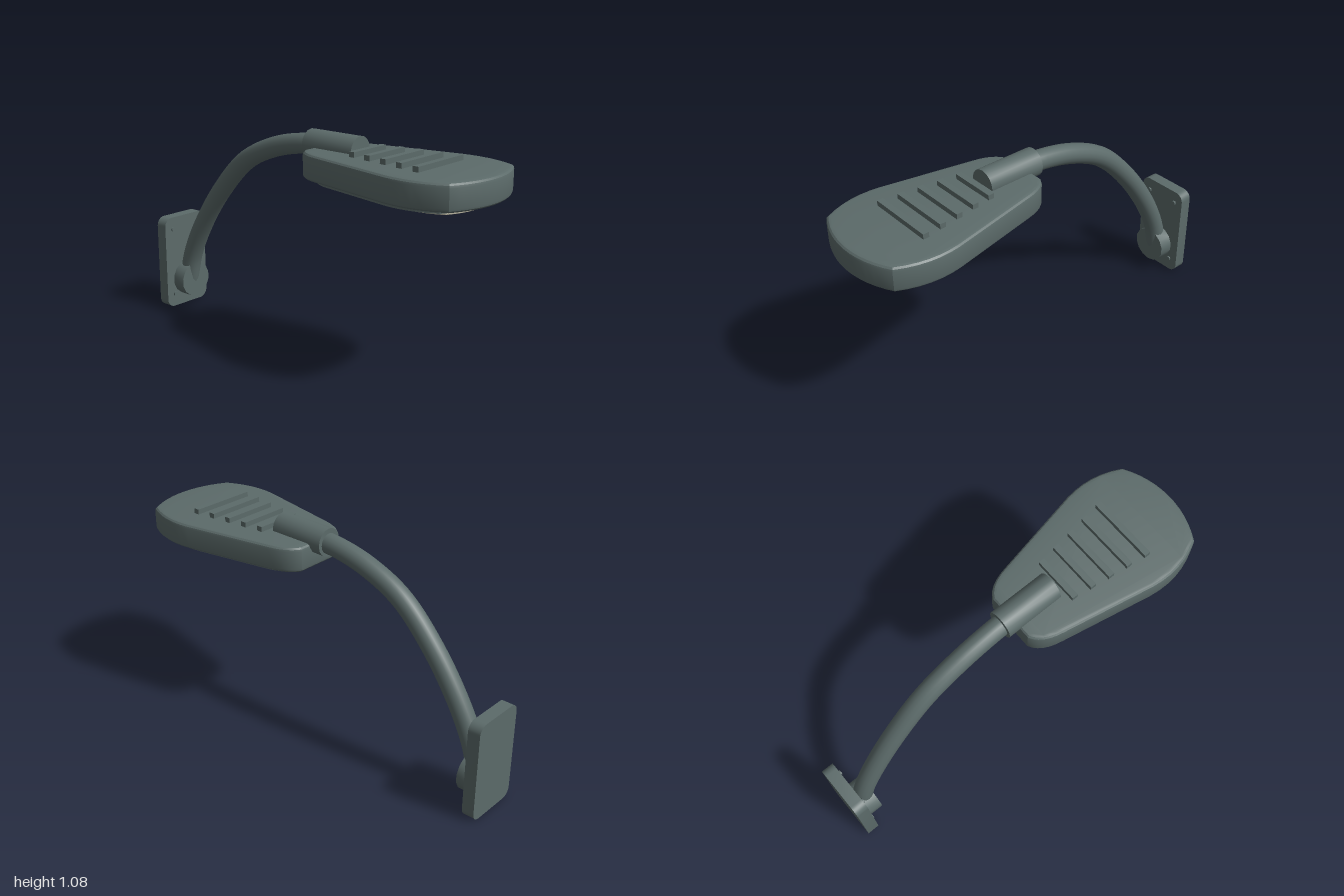
import * as THREE from 'three';
import { toCreasedNormals } from 'three/addons/utils/BufferGeometryUtils.js';

const metal = new THREE.MeshStandardMaterial({ color: 0x5c6b6a });
metal.name = 'slate grey metal';
const glass = new THREE.MeshStandardMaterial({ color: 0xcbc6b0 });
glass.name = 'warm cream lens';

export function createModel() {
  const root = new THREE.Group();
  root.name = 'wallLamp';

  const add = (name, geometry, material, x = 0, y = 0, z = 0) => {
    const mesh = new THREE.Mesh(geometry, material);
    mesh.name = name;
    mesh.position.set(x, y, z);
    root.add(mesh);
    return mesh;
  };

  // Cylinder lying along z
  const rod = (radius, length, sides) =>
    toCreasedNormals(new THREE.CylinderGeometry(radius, radius, length, sides).rotateX(Math.PI / 2), 0.7);

  // Paddle outline of the lamp head, scaled about its middle; shape y becomes z
  const HEAD_Z = 0.52;
  const paddle = (s) => {
    const p = (x, z) => [x * s, (z - HEAD_Z) * s];
    const shape = new THREE.Shape();
    shape.moveTo(...p(-0.12, 0.04));
    shape.lineTo(...p(0.12, 0.04));
    shape.quadraticCurveTo(...p(0.185, 0.07), ...p(0.205, 0.18));
    shape.lineTo(...p(0.295, 0.63));
    shape.bezierCurveTo(...p(0.312, 0.73), ...p(0.30, 0.83), ...p(0.245, 0.93));
    shape.quadraticCurveTo(...p(0.13, 1.0), ...p(0, 1.0));
    shape.quadraticCurveTo(...p(-0.13, 1.0), ...p(-0.245, 0.93));
    shape.bezierCurveTo(...p(-0.30, 0.83), ...p(-0.312, 0.73), ...p(-0.295, 0.63));
    shape.lineTo(...p(-0.205, 0.18));
    shape.quadraticCurveTo(...p(-0.185, 0.07), ...p(-0.12, 0.04));
    return shape;
  };

  // Slab with its top at y = 0, going down by height
  const slab = (scale, height, bevel) =>
    toCreasedNormals(new THREE.ExtrudeGeometry(paddle(scale), {
      depth: height - 2 * bevel, curveSegments: 6,
      bevelEnabled: bevel > 0, bevelThickness: bevel, bevelSize: bevel,
      bevelOffset: -bevel, bevelSegments: 3,
    }).translate(0, 0, bevel).rotateX(Math.PI / 2), 0.35);

  // Lamp head, underside frame and lens
  add('headShell', slab(1, 0.126, 0.02), metal, 0, 1.011, HEAD_Z);
  add('lensFrame', slab(0.84, 0.022, 0), metal, 0, 0.889, 0.515);
  add('lens', slab(0.67, 0.018, 0.003), glass, 0, 0.871, 0.585);

  // Light emitters under the lens
  for (let row = 0; row < 5; row++) {
    for (const x of [-0.06, 0, 0.06]) {
      add('emitter', new THREE.CylinderGeometry(0.014, 0.012, 0.01, 10), glass, x, 0.852, 0.43 + row * 0.066);
    }
  }

  // Cooling fins, wider toward the front
  for (let i = 0; i < 5; i++) {
    add('coolingFin', new THREE.BoxGeometry(0.23 + i * 0.026, 0.035, 0.03), metal, 0, 1.0185, 0.32 + i * 0.0965);
  }

  // Collar joining head and arm
  add('collar', rod(0.069, 0.295, 16), metal, 0, 1.016, 0.1295);

  // Curved arm
  const path = new THREE.CatmullRomCurve3([
    [0.05, 1.012], [-0.06, 1.008], [-0.25, 0.967], [-0.45, 0.873], [-0.64, 0.685],
    [-0.8, 0.455], [-0.883, 0.28], [-0.915, 0.14],
  ].map(([z, y]) => new THREE.Vector3(0, y, z)));
  add('arm', new THREE.TubeGeometry(path, 36, 0.05, 16, false), metal);

  // Round foot of the arm
  add('armFoot', rod(0.094, 0.08, 14), metal, 0, 0.15, -0.905);

  // Wall plate with rounded corners
  const w = 0.14, h = 0.25, r = 0.045;
  const plate = new THREE.Shape();
  for (const [x, y, start] of [[w - r, r - h, -0.5], [w - r, h - r, 0], [r - w, h - r, 0.5], [r - w, r - h, 1]]) {
    plate.absarc(x, y, r, start * Math.PI, (start + 0.5) * Math.PI, false);
  }
  const plateGeometry = new THREE.ExtrudeGeometry(plate, { depth: 0.062, bevelEnabled: false, curveSegments: 4 });
  add('wallPlate', toCreasedNormals(plateGeometry, 0.3), metal, 0, 0.251, -1);

  // Plate screws
  for (const x of [-0.088, 0.088]) {
    for (const y of [0.07, 0.435]) add('screw', rod(0.012, 0.02, 10), metal, x, y, -0.94);
  }

  return root;
}
